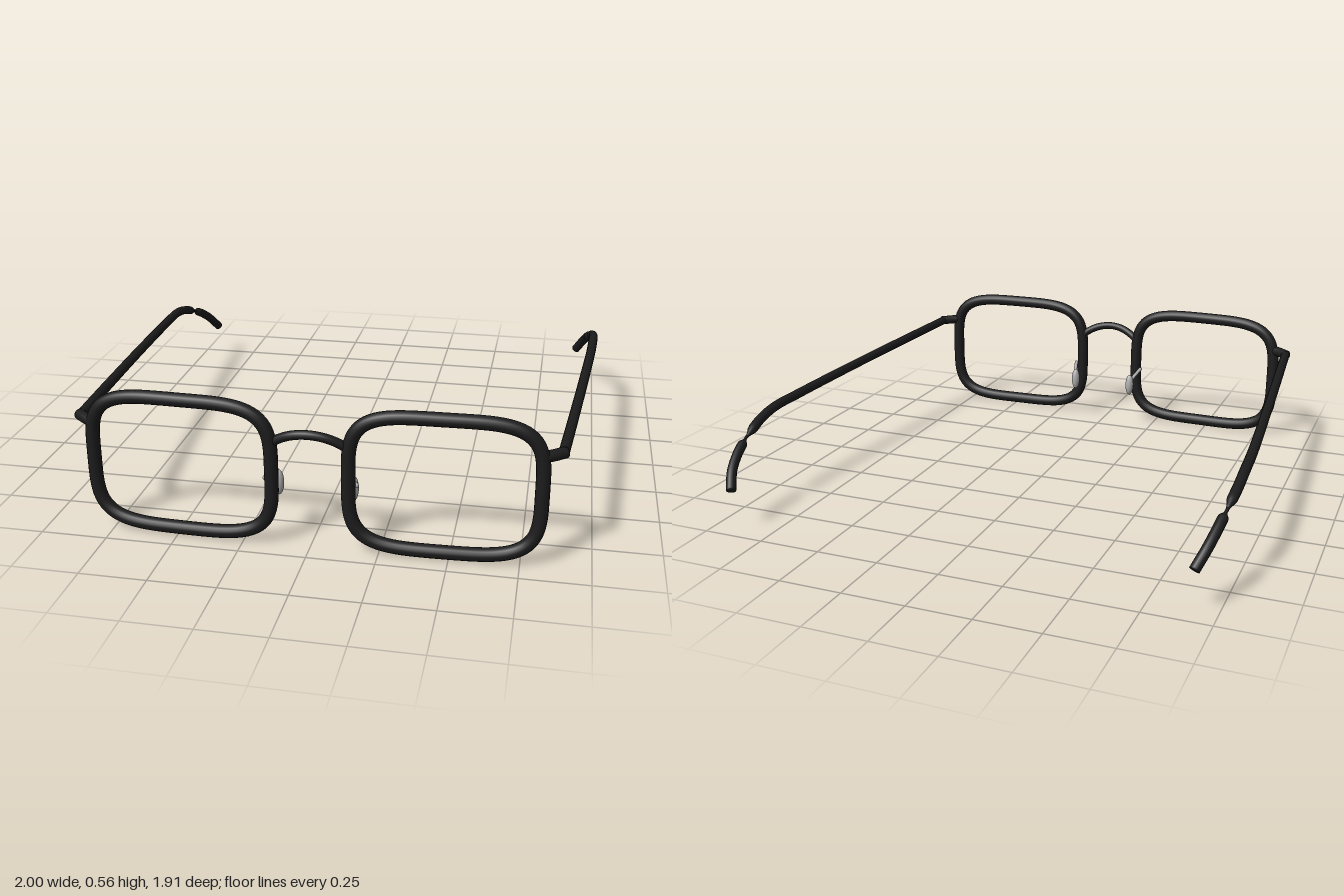
import * as THREE from 'three';

const black = new THREE.MeshStandardMaterial({ color: 0x1c1c1c });
black.name = 'black frame';
const silver = new THREE.MeshStandardMaterial({ color: 0xb0b0b0 });
silver.name = 'silver metal';

const V = (p) => new THREE.Vector3(...p);

// Round bar along a smooth path; radius(t) may vary, and the end rings close to a point as caps
function bar(name, points, radius, material, segments = 48) {
  const curve = new THREE.CatmullRomCurve3(points.map(V), false, 'centripetal');
  const sides = 16;
  const geo = new THREE.TubeGeometry(curve, segments, 1, sides, false);
  const pos = geo.attributes.position;
  const v = new THREE.Vector3();
  for (let i = 0; i <= segments; i++) {
    // rings 0 and 1 share a centre so that the cap is flat
    const u = Math.min(Math.max(i, 1), segments - 1) / segments;
    const t = i === 0 ? 0 : i === segments ? 1 : (u - 1 / segments) / (1 - 2 / segments);
    const from = curve.getPointAt(i / segments);
    const to = curve.getPointAt(t);
    const r = i === 0 || i === segments ? 0 : radius(t);
    for (let j = 0; j <= sides; j++) {
      const k = i * (sides + 1) + j;
      v.fromBufferAttribute(pos, k).sub(from).multiplyScalar(r).add(to);
      pos.setXYZ(k, v.x, v.y, v.z);
    }
  }
  geo.computeVertexNormals();
  const mesh = new THREE.Mesh(geo, material);
  mesh.name = name;
  return mesh;
}

// Closed rim: a rounded rectangle (superellipse), swept back a little at the outer end
function rim() {
  const pts = [];
  const n = 64;
  const soft = (c) => Math.sign(c) * Math.sqrt(Math.abs(c));
  for (let i = 0; i < n; i++) {
    const a = (i / n) * Math.PI * 2;
    const x = 0.476 + 0.337 * soft(Math.cos(a));
    const z = 0.917 - 0.02 * Math.max(0, (x - 0.3) / 0.5) ** 2;
    pts.push(new THREE.Vector3(x, 0.281 + 0.255 * soft(Math.sin(a)), z));
  }
  const curve = new THREE.CatmullRomCurve3(pts, true);
  const mesh = new THREE.Mesh(new THREE.TubeGeometry(curve, 128, 0.0255, 16, true), black);
  mesh.name = 'rim';
  return mesh;
}

// One half of the glasses, built for the +x or -x side
function half(s) {
  const side = (pts) => pts.map(([x, y, z]) => [x * s, y, z]);
  const g = new THREE.Group();
  g.name = s > 0 ? 'leftHalf' : 'rightHalf';

  const ring = rim();
  if (s < 0) {
    // rotate the ring to the other side, keeping the outer end swept back
    const pos = ring.geometry.attributes.position;
    const nor = ring.geometry.attributes.normal;
    for (let i = 0; i < pos.count; i++) {
      pos.setX(i, -pos.getX(i));
      nor.setX(i, -nor.getX(i));
    }
    const idx = ring.geometry.index;
    for (let i = 0; i < idx.count; i += 3) {
      const a = idx.getX(i);
      idx.setX(i, idx.getX(i + 1));
      idx.setX(i + 1, a);
    }
  }
  g.add(ring);

  // Hinge block between rim and temple
  g.add(bar('hinge', side([[0.805, 0.418, 0.9], [0.845, 0.418, 0.872], [0.882, 0.417, 0.84]]),
    () => 0.021, black, 12));

  // Temple arm, narrowing to a thin neck at the back
  g.add(bar('temple', side([[0.875, 0.417, 0.85], [0.905, 0.405, 0.5], [0.942, 0.388, 0.05],
    [0.972, 0.37, -0.35], [0.98, 0.362, -0.52], [0.98, 0.342, -0.62], [0.971, 0.305, -0.73]]),
    (t) => 0.0195 - 0.013 * THREE.MathUtils.smoothstep(t, 0.97, 1), black, 100));
  g.add(bar('templeNeck', side([[0.972, 0.308, -0.72], [0.97, 0.3, -0.745], [0.966, 0.289, -0.77]]),
    () => 0.006, black, 8));

  // Ear tip bending down and inward
  g.add(bar('earTip', side([[0.969, 0.297, -0.75], [0.958, 0.262, -0.82], [0.941, 0.217, -0.885],
    [0.914, 0.158, -0.938]]),
    (t) => 0.0195 - 0.013 * (1 - THREE.MathUtils.smoothstep(t, 0, 0.12)), black, 40));

  // Nose pad on its wire arm
  g.add(bar('padArm', side([[0.168, 0.255, 0.905], [0.156, 0.238, 0.86], [0.142, 0.215, 0.82]]),
    () => 0.008, silver, 12));
  const pad = new THREE.Mesh(new THREE.SphereGeometry(1, 24, 16), silver);
  pad.name = 'nosePad';
  pad.scale.set(0.019, 0.05, 0.02);
  pad.position.set(0.139 * s, 0.196, 0.815);
  g.add(pad);
  return g;
}

export function createModel() {
  const glasses = new THREE.Group();
  glasses.name = 'eyeglasses';
  glasses.add(half(1), half(-1));

  // Arched bridge bowing forward over the nose
  glasses.add(bar('bridge', [[-0.14, 0.395, 0.912], [-0.11, 0.418, 0.92], [-0.06, 0.441, 0.932],
    [0, 0.45, 0.937], [0.06, 0.441, 0.932], [0.11, 0.418, 0.92], [0.14, 0.395, 0.912]],
    () => 0.017, black, 40));
  return glasses;
}
